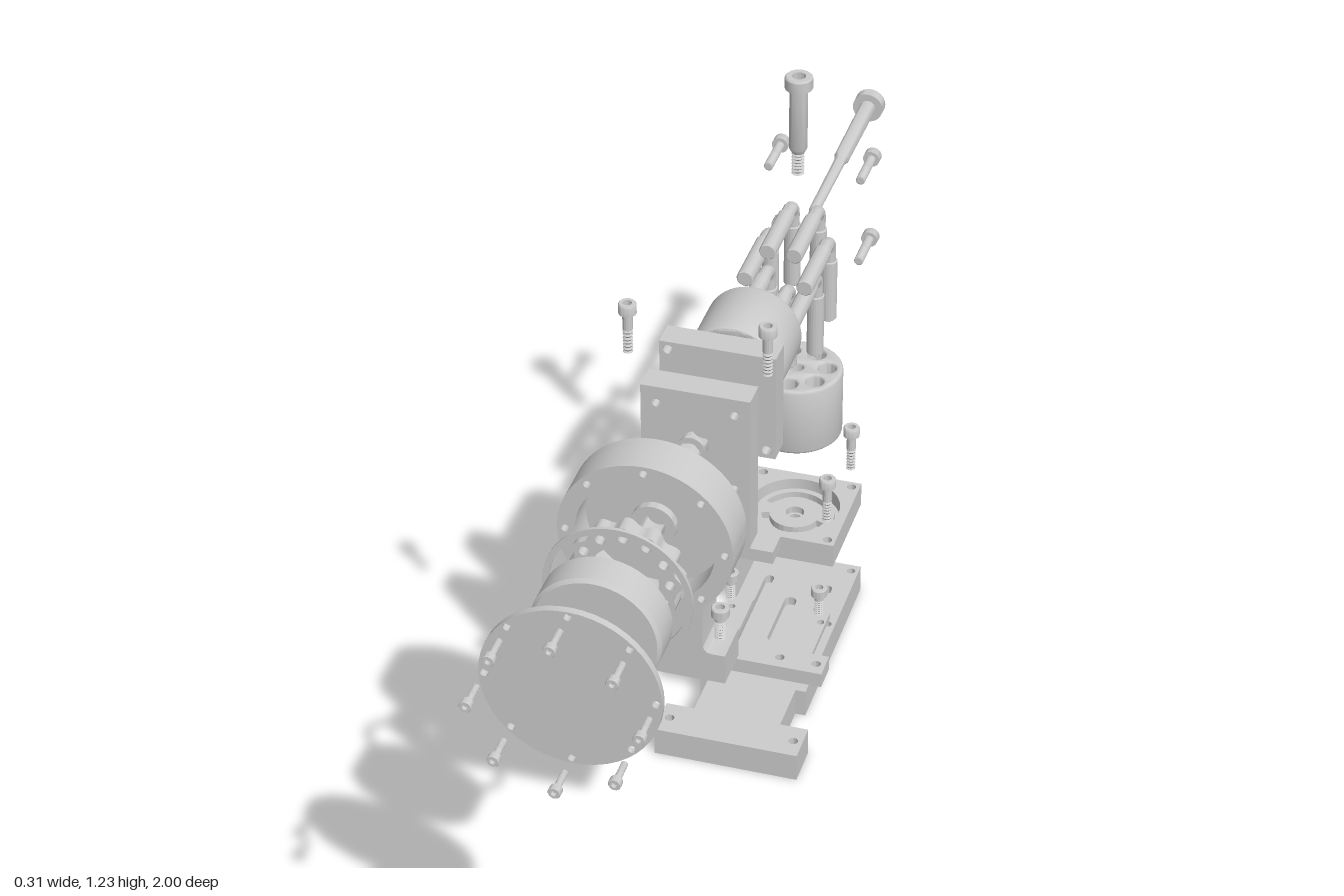
import * as THREE from 'three';
import { toCreasedNormals } from 'three/addons/utils/BufferGeometryUtils.js';

const mat = new THREE.MeshStandardMaterial({ color: 0xcccccc });
const AX = -0.008, AY = 0.868, BZ = -0.457; // shaft axis x and y, vertical block z
const V = (x, y) => new THREE.Vector2(x, y);

export function createModel() {
  const root = new THREE.Group();

  const add = (name, geo, x = 0, y = 0, z = 0, rx = 0) => {
    const m = new THREE.Mesh(toCreasedNormals(geo, 0.6), mat);
    m.name = name;
    m.position.set(x, y, z);
    m.rotation.x = rx;
    root.add(m);
    return m;
  };
  const circle = (x, y, r) => new THREE.Path().absarc(x, y, r, 0, Math.PI * 2, true);
  const disc = (r) => new THREE.Shape().absarc(0, 0, r, 0, Math.PI * 2, false);
  const poly = (pts) => new THREE.Shape(pts.map(([x, y]) => V(x, y)));
  const rect = (x0, y0, x1, y1) => poly([[x0, y0], [x1, y0], [x1, y1], [x0, y1]]);
  const extrude = (shape, depth, holes = [], bevel = 0) => {
    shape.holes.push(...holes);
    return new THREE.ExtrudeGeometry(shape, {
      depth: depth - 2 * bevel, curveSegments: 24, bevelEnabled: bevel > 0,
      bevelSize: bevel, bevelOffset: -bevel, bevelThickness: bevel, bevelSegments: 3,
    }).translate(0, 0, bevel);
  };
  // Profile runs from the top down
  const lathe = (pts, seg = 32) => new THREE.LatheGeometry(pts.map(([r, y]) => V(r, y)).reverse(), seg);
  const ring = (count, r, start = 0) => Array.from({ length: count }, (_, i) => {
    const a = start + (i * Math.PI * 2) / count;
    return [r * Math.cos(a), r * Math.sin(a)];
  });

  // Socket-head screw: top of the head at the origin, threaded tip at -len
  const screwGeo = (len, hr, hh, r, plain = 0.4) => {
    const pts = [[0, -hh * 0.6], [hr * 0.5, -hh * 0.6], [hr * 0.5, 0], [hr * 0.9, 0], [hr, -hh * 0.12], [hr, -hh], [r, -hh]];
    const start = hh + (len - hh) * plain, n = 7, p = (len - start) / n;
    pts.push([r, -start]);
    for (let i = 0; i < n; i++) {
      pts.push([r * 0.7, -start - p * (i + 0.3)], [r, -start - p * (i + 0.75)]);
    }
    pts.push([r * 0.7, -len], [0, -len]);
    return lathe(pts, 14);
  };

  // Round front cover and its eight screws
  const rim = ring(8, 0.143);
  add('frontCover', extrude(disc(0.153), 0.013, rim.map(([x, y]) => circle(x, y, 0.007))), 0, 0.875, 0.896);
  for (const [x, y] of rim) add('coverScrew', screwGeo(0.055, 0.011, 0.013, 0.006), x, 0.875 + y, 1, Math.PI / 2);

  // Flat motor with output shaft
  add('motor', lathe([[0, 0.07], [0.106, 0.07], [0.112, 0.064], [0.112, 0.005], [0.107, 0], [0, 0]], 48),
    -0.003, 0.877, 0.705, Math.PI / 2);
  add('motorShaft', new THREE.CylinderGeometry(0.006, 0.006, 0.04, 12), -0.003, 0.877, 0.79, Math.PI / 2);

  // Seal ring
  add('sealRing', extrude(disc(0.129), 0.006, [circle(0, 0, 0.118)]), -0.002, 0.878, 0.652);

  // Scalloped drive ring
  const lobes = new THREE.Shape(Array.from({ length: 96 }, (_, i) => {
    const a = (i / 96) * Math.PI * 2, r = 0.094 + 0.006 * Math.cos(a * 12);
    return V(r * Math.cos(a), r * Math.sin(a));
  }));
  add('driveRing', extrude(lobes, 0.032, [circle(0, 0, 0.06), ...ring(12, 0.079).map(([x, y]) => circle(x, y, 0.009))]),
    -0.006, 0.874, 0.577);

  // Cup housing with stem and foot: closed back wall, open front
  const housing = () => {
    const s = new THREE.Shape();
    const a = Math.acos(0.1 / 0.153);
    s.absarc(0, 0, 0.153, -a, Math.PI + a, false);
    s.lineTo(-0.1, -0.195);
    s.quadraticCurveTo(-0.1, -0.212, -0.118, -0.212);
    s.lineTo(-0.145, -0.212); s.lineTo(-0.145, -0.27);
    s.lineTo(0.139, -0.27); s.lineTo(0.139, -0.212); s.lineTo(0.118, -0.212);
    s.quadraticCurveTo(0.1, -0.212, 0.1, -0.195);
    return s;
  };
  add('housingBack', extrude(housing(), 0.022, [circle(0, 0, 0.022)]), -0.002, 0.876, 0.428);
  add('housingCup', extrude(housing(), 0.06, [circle(0, 0, 0.122), ...ring(8, 0.139).map(([x, y]) => circle(x, y, 0.007))]),
    -0.002, 0.876, 0.45);
  add('housingBoss', extrude(disc(0.04), 0.015, [circle(0, 0, 0.022)]), -0.002, 0.876, 0.45);
  for (const x of [-0.12, 0.117]) add('footScrew', screwGeo(0.066, 0.016, 0.018, 0.01, 0.2), x, 0.736, 0.47);

  // Coupling pieces and thrust washer along the shaft
  for (const [name, r, hole, z, d] of [['frontBearing', 0.029, 0.014, 0.304, 0.012], ['coupling', 0.024, 0.01, 0.25, 0.028],
    ['couplingWasher', 0.024, 0.012, 0.226, 0.007], ['thrustBearing', 0.038, 0.02, 0.079, 0.012]]) {
    add(name, extrude(disc(r), d, [circle(0, 0, hole)]), -0.006, AY + 0.006, z);
  }

  // Upright bearing plate on a wide foot
  const upright = poly([[-0.14, 0.643], [0.14, 0.643], [0.14, 0.668], [0.098, 0.668], [0.098, 0.978],
    [-0.098, 0.978], [-0.098, 0.668], [-0.14, 0.668]]);
  add('uprightPlate', extrude(upright, 0.05, [circle(0, 0.874, 0.024),
    ...[-0.07, 0.07].flatMap((x) => [circle(x, 0.79, 0.008), circle(x, 0.945, 0.008)]),
    ...[-0.05, 0.05].map((x) => circle(x, 0.72, 0.008))]), -0.004, 0, 0.163);
  for (const x of [-0.13, 0.118]) add('uprightScrew', screwGeo(0.1, 0.016, 0.02, 0.009), x, 1.125, 0.19);

  // Square port plate: solid back, circular recess with raised hub and kidney ports
  const kidney = (a0, a1) => {
    const p = new THREE.Path();
    p.absarc(0, 0, 0.066, a0, a1, false);
    p.absarc(0, 0, 0.05, a1, a0, true);
    p.closePath();
    return p;
  };
  const portPlate = (y, z, rx) => {
    const g = new THREE.Group();
    g.name = 'portPlate';
    const h = 0.106, corners = () => [-1, 1].flatMap((i) => [-1, 1].map((j) => circle(i * 0.09, j * 0.09, 0.009)));
    g.add(add('plateBack', extrude(rect(-h, -h, h, h), 0.02, [...corners(), circle(0, 0, 0.012)])));
    g.add(add('plateRim', extrude(rect(-h, -h, h, h), 0.03, [...corners(), circle(0, 0, 0.088)]), 0, 0, 0.02));
    g.add(add('portDisc', extrude(disc(0.078), 0.014,
      [kidney(0.3, Math.PI - 0.3), kidney(Math.PI + 0.3, Math.PI * 2 - 0.3), circle(0, 0, 0.018)]), 0, 0, 0.02));
    g.position.set(AX, y, z);
    g.rotation.x = rx;
    root.add(g);
  };
  portPlate(AY - 0.003, 0.066, Math.PI);
  portPlate(0.215, BZ - 0.001, -Math.PI / 2);

  // Two cylinder blocks, seven bores each
  const bores = ring(7, 0.058, -Math.PI / 2);
  const block = () => extrude(disc(0.089), 0.142, [circle(0, 0, 0.013), ...bores.map(([x, y]) => circle(x, y, 0.0175))], 0.005);
  add('horizontalCylinderBlock', block(), AX, AY, -0.167);
  // Local y becomes -z, so the bores line up with the elbow pistons
  add('verticalCylinderBlock', block(), AX, 0.452, BZ, -Math.PI / 2);

  // Seven elbow pistons linking the blocks
  for (const [x, d] of bores) {
    const y = AY + d, z = BZ - d, b = 0.025;
    const path = new THREE.CurvePath();
    const P = (dy, dz) => new THREE.Vector3(AX + x, y + dy, z + dz);
    path.add(new THREE.LineCurve3(P(0, 0.06), P(0, b)));
    path.add(new THREE.QuadraticBezierCurve3(P(0, b), P(0, 0), P(-b, 0)));
    path.add(new THREE.LineCurve3(P(-b, 0), P(-0.06, 0)));
    add('pistonElbow', new THREE.TubeGeometry(path, 24, 0.0135, 12));
    const leg = lathe([[0, 0.065], [0.014, 0.065], [0.016, 0.063], [0.016, -0.063], [0.014, -0.065], [0, -0.065]], 20);
    add('horizontalPiston', leg, AX + x, y, z + 0.108, Math.PI / 2);
    add('verticalPiston', leg, AX + x, y - 0.108, z);
  }

  // Long rear shaft and the tall shoulder bolt
  add('rearShaft', lathe([[0, 0], [0.026, 0], [0.03, -0.003], [0.03, -0.026], [0.016, -0.026], [0.015, -0.22],
    [0.011, -0.235], [0.01, -0.42], [0.008, -0.43], [0, -0.43]], 24), -0.011, AY, -1, -Math.PI / 2);
  add('shoulderBoltShank', lathe([[0, 0], [0.017, 0], [0.017, -0.13], [0.012, -0.14], [0, -0.14]], 24), -0.01, 1.208, BZ);
  add('shoulderBolt', screwGeo(0.205, 0.026, 0.024, 0.012, 0.74), -0.01, 1.227, BZ);

  // Corner screws for both cylinder blocks, and base screws
  for (const x of [-0.098, 0.08]) {
    for (const y of [0.956, 0.778]) add('rearScrew', screwGeo(0.1, 0.016, 0.02, 0.009), x, y, -0.668, -Math.PI / 2);
    for (const z of [-0.369, -0.546]) add('plateScrew', screwGeo(0.1, 0.016, 0.02, 0.009), x, 0.411, z);
    add('baseScrew', screwGeo(0.064, 0.016, 0.018, 0.009, 0.25), x, 0.185, -0.32);
  }

  // Sliding clamp: thick crossbar with two thin legs
  const flat = Math.PI / 2; // shape y becomes z, depth goes down
  add('clampBar', extrude(rect(-0.14, -0.198, 0.14, -0.142), 0.031, [-0.122, 0.122, -0.05, 0.05].map((x) => circle(x, -0.17, 0.009))),
    -0.006, 0.119, 0, flat);
  add('clampLegs', extrude(poly([[-0.1, -0.352], [-0.055, -0.352], [-0.055, -0.22], [0.055, -0.22], [0.055, -0.352],
    [0.1, -0.352], [0.1, -0.19], [-0.1, -0.19]]), 0.012, [-0.09, 0.09].map((x) => circle(x, -0.32, 0.007))), -0.006, 0.1, 0, flat);

  // Base plate: wide front ears, narrow neck, slotted top layer
  const base = () => poly([[-0.14, 0.033], [-0.14, -0.048], [-0.085, -0.048], [-0.085, -0.155], [-0.105, -0.155],
    [-0.105, -0.567], [0.105, -0.567], [0.105, -0.155], [0.085, -0.155], [0.085, -0.048], [0.14, -0.048], [0.14, 0.033]]);
  const slot = (x, z0, z1, r) => {
    const p = new THREE.Path();
    p.absarc(x, z1, r, 0, Math.PI, false);
    p.absarc(x, z0, r, Math.PI, Math.PI * 2, false);
    p.closePath();
    return p;
  };
  add('baseBottom', extrude(base(), 0.04), -0.005, 0.04, 0, flat);
  add('baseTop', extrude(base(), 0.018, [slot(-0.06, -0.48, -0.24, 0.009), slot(0.06, -0.48, -0.24, 0.009),
    slot(0, -0.42, -0.3, 0.012), ...[-0.09, 0.09].flatMap((x) => [circle(x, -0.548, 0.008), circle(x, -0.37, 0.008)]),
    ...[-0.122, 0.122].map((x) => circle(x, -0.008, 0.009))]), -0.005, 0.058, 0, flat);

  return root;
}
